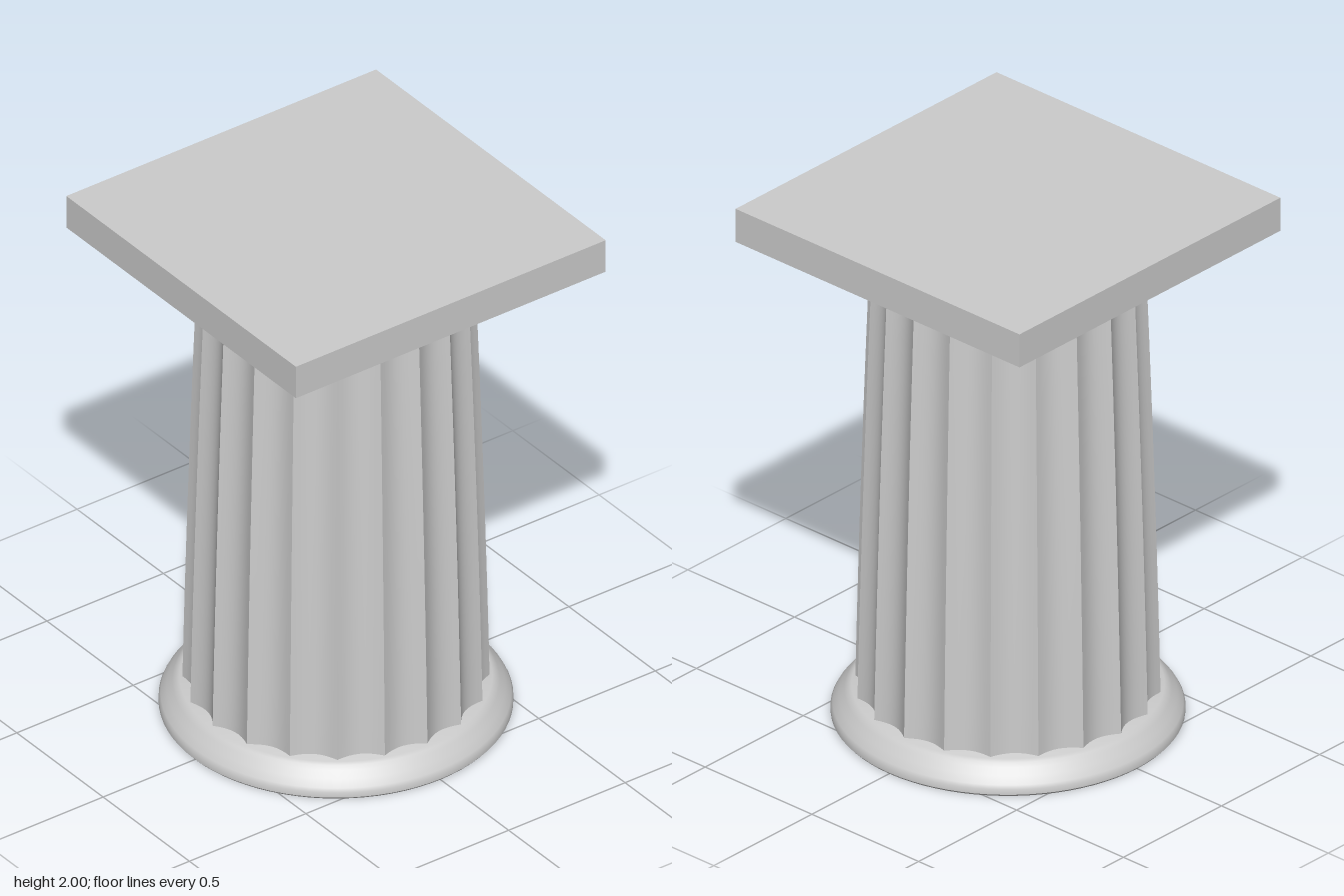
import * as THREE from 'three';
import { mergeVertices, toCreasedNormals } from 'three/addons/utils/BufferGeometryUtils.js';

const FLUTES = 20, STEPS = 8, ROWS = 12;
const Y0 = 0.1, Y1 = 1.77;

// Fluted shaft: each flute is its own strip, so the arrises stay sharp
function shaftGeometry() {
  const pos = [], index = [];
  for (let f = 0; f < FLUTES; f++) {
    const base = pos.length / 3;
    for (let j = 0; j <= ROWS; j++) {
      const v = j / ROWS;
      // taper with a slight swelling
      const radius = 0.53 - 0.05 * v + 0.016 * v * (1 - v);
      for (let i = 0; i <= STEPS; i++) {
        const t = i / STEPS;
        const a = ((f + t) / FLUTES) * Math.PI * 2;
        const r = radius * (1 - 0.06 * 4 * t * (1 - t));
        pos.push(r * Math.sin(a), Y0 + (Y1 - Y0) * v, r * Math.cos(a));
      }
    }
    for (let j = 0; j < ROWS; j++) {
      for (let i = 0; i < STEPS; i++) {
        const a = base + j * (STEPS + 1) + i, b = a + 1, c = a + STEPS + 1, d = c + 1;
        index.push(a, b, d, a, d, c);
      }
    }
  }
  const g = new THREE.BufferGeometry();
  g.setAttribute('position', new THREE.Float32BufferAttribute(pos, 3));
  g.setIndex(index);
  g.computeVertexNormals();
  return g;
}

// Turned moulding with closed ends, from [radius, height] pairs
function turned(profile) {
  const g = new THREE.LatheGeometry(profile.map(([r, y]) => new THREE.Vector2(r, y)), 80);
  g.deleteAttribute('uv');
  g.deleteAttribute('normal');
  return toCreasedNormals(mergeVertices(g), 0.6);
}

export function createModel() {
  const model = new THREE.Group();
  model.name = 'flutedPedestal';
  const stone = new THREE.MeshStandardMaterial({ color: 0xcccccc });
  const add = (name, geometry, y = 0) => {
    const mesh = new THREE.Mesh(geometry, stone);
    mesh.name = name;
    mesh.position.y = y;
    model.add(mesh);
  };

  // Round foot
  add('base', turned([
    [0, 0], [0.605, 0], [0.612, 0.008], [0.612, 0.028], [0.605, 0.042],
    [0.585, 0.067], [0.565, 0.09], [0.553, 0.103], [0.54, 0.11], [0, 0.11],
  ]));

  add('shaft', shaftGeometry());

  // Flaring cushion under the slab
  add('echinus', turned([
    [0, 1.76], [0.475, 1.76], [0.53, 1.783], [0.575, 1.805], [0.602, 1.823],
    [0.617, 1.84], [0.625, 1.858], [0.625, 1.875], [0, 1.875],
  ]));

  // Square top slab
  add('abacus', new THREE.BoxGeometry(1.33, 0.13, 1.33), 1.935);

  return model;
}
